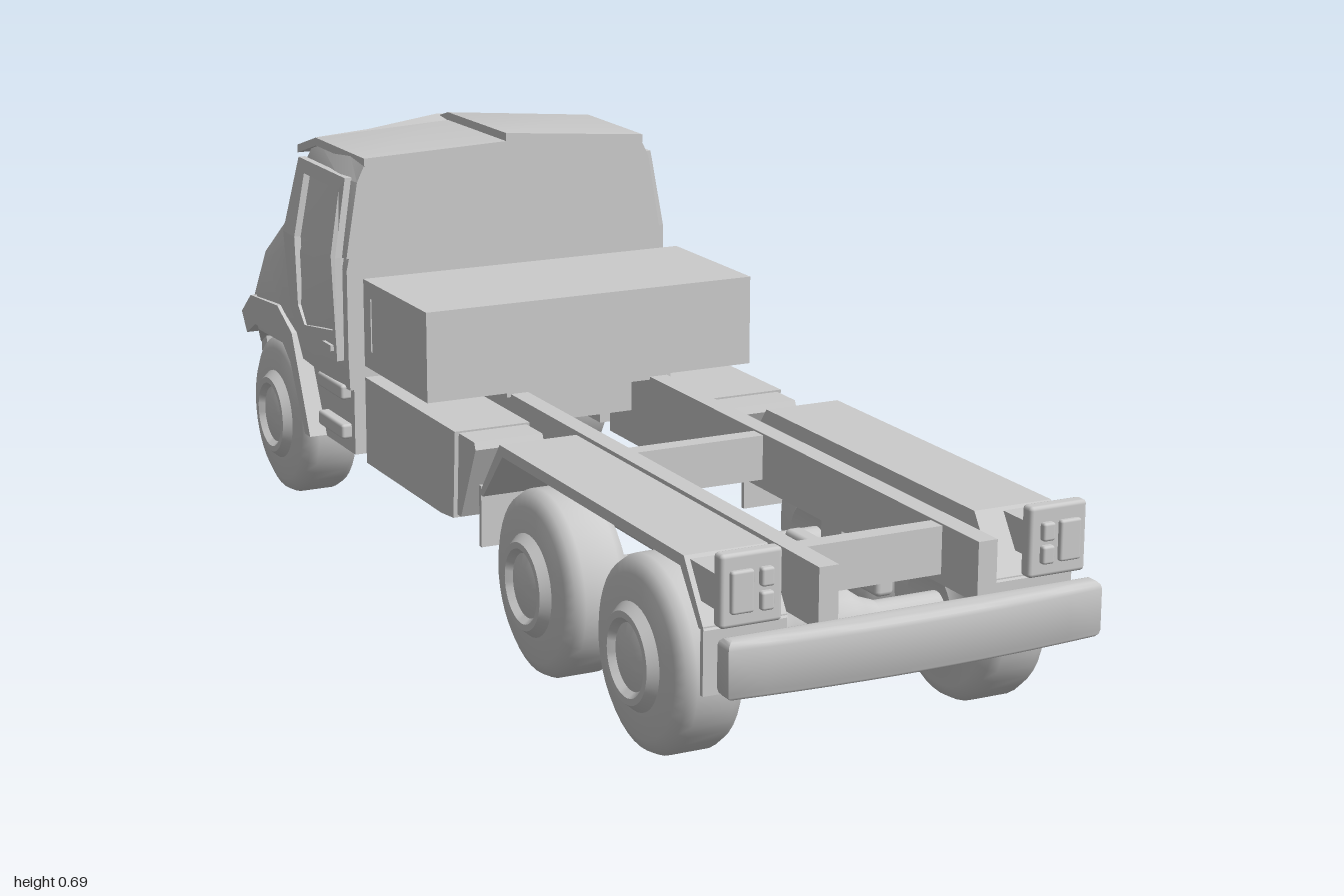
import * as THREE from 'three';
import { toCreasedNormals } from 'three/addons/utils/BufferGeometryUtils.js';
import { RoundedBoxGeometry } from 'three/addons/geometries/RoundedBoxGeometry.js';

const grey = new THREE.MeshStandardMaterial({ color: 0xcccccc });
const greyBoth = new THREE.MeshStandardMaterial({ color: 0xcccccc, side: THREE.DoubleSide });

export function createModel() {
  const truck = new THREE.Group();
  truck.name = 'truck';
  truck.position.x = -0.01;

  const add = (name, geo, mat = grey) => {
    const m = new THREE.Mesh(geo, mat);
    m.name = name;
    truck.add(m);
    return m;
  };
  // Box given by its limits on each axis; r rounds the edges
  const box = (name, [x0, x1], [y0, y1], [z0, z1], r = 0) => {
    const d = [x1 - x0, y1 - y0, z1 - z0];
    const m = add(name, r ? new RoundedBoxGeometry(...d, 2, r) : new THREE.BoxGeometry(...d));
    m.position.set((x0 + x1) / 2, (y0 + y1) / 2, (z0 + z1) / 2);
    return m;
  };
  const side = (s, a, b) => (s > 0 ? [a, b] : [-b, -a]);
  const zyShape = (pts) => new THREE.Shape(pts.map(([z, y]) => new THREE.Vector2(-z, y)));
  // Side profile of [z, y] points, extruded from x0 to x1
  const profile = (name, pts, [x0, x1], hole) => {
    const shape = zyShape(pts);
    if (hole) shape.holes.push(zyShape(hole));
    const g = new THREE.ExtrudeGeometry(shape, { depth: x1 - x0, bevelEnabled: false });
    return add(name, g.rotateY(Math.PI / 2).translate(x0, 0, 0));
  };
  const rod = (name, r, len, axis, [x, y, z]) => {
    const g = new THREE.CylinderGeometry(r, r, len, 20);
    if (axis === 'x') g.rotateZ(Math.PI / 2);
    if (axis === 'z') g.rotateX(Math.PI / 2);
    add(name, g).position.set(x, y, z);
  };
  const tube = (name, pts, r) => {
    const c = new THREE.CatmullRomCurve3(pts.map((p) => new THREE.Vector3(...p)), false, 'centripetal');
    add(name, new THREE.TubeGeometry(c, 30, r, 10), greyBoth);
  };
  // Skin through half rings that are mirrored across x = 0, closed at both ends
  const loft = (name, halves, crease = 0.5) => {
    const rings = halves.map((h) => [...h, ...h.filter((p) => p[0] > 0).reverse().map(([x, y, z]) => [-x, y, z])]);
    const n = rings[0].length, pos = rings.flat(2), idx = [];
    for (let i = 0; i < rings.length - 1; i++) {
      for (let j = 0; j < n; j++) {
        const a = i * n + j, b = i * n + (j + 1) % n;
        idx.push(a, b, a + n, b, b + n, a + n);
      }
    }
    [0, rings.length - 1].forEach((i) => {
      const c = pos.length / 3;
      for (let k = 0; k < 3; k++) pos.push(rings[i].reduce((t, p) => t + p[k], 0) / n);
      for (let j = 0; j < n; j++) {
        const a = i * n + j, b = i * n + (j + 1) % n;
        idx.push(...(i ? [a, b, c] : [b, a, c]));
      }
    });
    const g = new THREE.BufferGeometry();
    g.setAttribute('position', new THREE.Float32BufferAttribute(pos, 3));
    g.setIndex(idx);
    return add(name, toCreasedNormals(g, crease), greyBoth);
  };

  // Wheels and axles
  const wheelPts = [[0, -0.05], [0.04, -0.06], [0.062, -0.069], [0.08, -0.055], [0.12, -0.053], [0.138, -0.044],
    [0.145, -0.03], [0.145, 0.03], [0.138, 0.044], [0.12, 0.053], [0.08, 0.056], [0.068, 0.07], [0.058, 0.07],
    [0.05, 0.06], [0.03, 0.067], [0, 0.069]].map((p) => new THREE.Vector2(...p));
  const wheelGeo = toCreasedNormals(new THREE.LatheGeometry(wheelPts, 40).rotateZ(-Math.PI / 2), 0.7);
  for (const z of [0.715, 0.362, -0.73]) {
    for (const s of [-1, 1]) {
      const w = add('wheel', wheelGeo);
      w.position.set(s * 0.25, 0.147, z);
      if (s < 0) w.rotation.y = Math.PI;
    }
    rod('axle', 0.026, 0.4, 'x', [0, 0.145, z]);
    const diff = [[0.026, -0.085], [0.035, -0.06], [0.056, -0.03], [0.056, 0.03], [0.035, 0.06], [0.026, 0.085]];
    add('differential', new THREE.LatheGeometry(diff.map((p) => new THREE.Vector2(...p)), 20).rotateZ(Math.PI / 2))
      .position.set(0, 0.147, z);
  }
  rod('driveShaft', 0.029, 1.45, 'z', [0, 0.14, 0]);
  box('gearbox', [-0.09, 0.09], [0.12, 0.28], [-0.6, -0.39], 0.02);

  // Chassis ladder
  for (const s of [-1, 1]) {
    box('chassisRail', side(s, 0.112, 0.143), [0.235, 0.325], [-0.88, 0.95]);
    for (const z of [0.54, -0.73]) box('leafSpring', side(s, 0.112, 0.143), [0.16, 0.19], [z - 0.14, z + 0.14], 0.008);
    for (const z of [0.54, -0.73]) box('springHanger', side(s, 0.115, 0.14), [0.17, 0.25], [z - 0.03, z + 0.03]);
  }
  for (const [z, w] of [[0.315, 0.03], [0.84, 0.03], [-0.15, 0.04]]) {
    box('crossMember', [-0.115, 0.115], [0.25, 0.322], [z - w / 2, z + w / 2]);
  }

  // Rear bumper, bowed in plan
  const plan = new THREE.Shape();
  plan.moveTo(-0.288, -0.962);
  plan.lineTo(0.288, -0.962);
  plan.lineTo(0.288, -0.973);
  plan.quadraticCurveTo(0, -1.003, -0.288, -0.973);
  const bumper = new THREE.ExtrudeGeometry(plan, { depth: 0.061, bevelSize: 0.011, bevelThickness: 0.012, bevelSegments: 3 });
  add('rearBumper', toCreasedNormals(bumper.rotateX(-Math.PI / 2).translate(0, 0.178, 0), 0.8));

  for (const s of [-1, 1]) {
    // Rear mudguards, flaps and lamps
    profile('mudguard', [[0.91, 0.245], [0.85, 0.335], [0.24, 0.335], [0.16, 0.235], [0.175, 0.235], [0.25, 0.318],
      [0.84, 0.318], [0.895, 0.245]], side(s, 0.168, 0.298));
    profile('mudguardSkirt', [[0.905, 0.25], [0.85, 0.33], [0.24, 0.33], [0.17, 0.245], [0.25, 0.298], [0.84, 0.298]],
      side(s, 0.168, 0.178));
    box('mudFlap', side(s, 0.168, 0.298), [0.15, 0.25], [0.9, 0.908]);
    box('frontMudFlap', side(s, 0.168, 0.298), [0.15, 0.25], [0.16, 0.168]);
    box('lampHousing', side(s, 0.198, 0.293), [0.257, 0.362], [0.925, 0.948], 0.006);
    box('lampBracket', side(s, 0.215, 0.29), [0.28, 0.33], [0.85, 0.93]);
    for (const y of [0.278, 0.312]) box('lampLens', side(s, 0.215, 0.235), [y, y + 0.027], [0.945, 0.958], 0.004);
    box('lampLens', side(s, 0.245, 0.28), [0.278, 0.339], [0.945, 0.956], 0.004);

    // Side tanks
    profile('sideTank', [[0.05, 0.165], [0.06, 0.31], [-0.32, 0.31], [-0.32, 0.16], [0, 0.16]], side(s, 0.165, 0.295));
    profile('tankEnd', [[0.05, 0.17], [0.065, 0.17], [0.125, 0.295], [0.12, 0.307], [0.05, 0.307]], side(s, 0.17, 0.288));

    // Locker end frames
    profile('lockerFrame', [[-0.05, 0.33], [-0.05, 0.48], [-0.32, 0.48], [-0.32, 0.33]], side(s, 0.28, 0.295),
      [[-0.08, 0.36], [-0.08, 0.452], [-0.29, 0.452], [-0.29, 0.36]]);
  }
  // Locker behind the cab
  box('locker', [-0.281, 0.281], [0.33, 0.48], [-0.32, -0.05]);
  box('lockerMount', [-0.15, 0.15], [0.32, 0.335], [-0.31, -0.06]);

  // Lower cab and bonnet, from the rear wall to the nose
  const body = (z, xs, ys) => xs.map((x, i) => [x, ys[i], z]);
  loft('bonnetAndLowerCab', [
    body(-0.39, [0.295, 0.297, 0.297, 0.29, 0], [0.27, 0.33, 0.48, 0.51, 0.51]),
    body(-0.45, [0.3, 0.305, 0.305, 0.3, 0], [0.27, 0.33, 0.48, 0.51, 0.51]),
    body(-0.68, [0.308, 0.312, 0.302, 0.285, 0], [0.29, 0.35, 0.47, 0.51, 0.53]),
    body(-0.8, [0.312, 0.315, 0.29, 0.25, 0], [0.29, 0.345, 0.42, 0.493, 0.517]),
    body(-0.9, [0.272, 0.282, 0.258, 0.215, 0], [0.24, 0.33, 0.41, 0.465, 0.488]),
    [[0.225, 0.25, -0.93], [0.228, 0.32, -0.95], [0.205, 0.4, -0.965], [0.18, 0.448, -0.965], [0, 0.465, -0.965]],
    [[0.16, 0.25, -0.935], [0.17, 0.32, -0.955], [0.165, 0.4, -0.985], [0.155, 0.438, -1], [0, 0.448, -1]],
  ]);
  // Upper cab, from the belt line to the roof
  const level = (y, yc, xs, zs) => xs.map((x, i) => [x, x ? y : yc, zs[i]]);
  loft('upperCab', [
    level(0.5, 0.515, [0.297, 0.305, 0.295, 0.16, 0], [-0.39, -0.45, -0.695, -0.745, -0.765]),
    level(0.63, 0.64, [0.275, 0.285, 0.265, 0.15, 0], [-0.39, -0.45, -0.65, -0.69, -0.705]),
    level(0.665, 0.68, [0.258, 0.262, 0.25, 0.14, 0], [-0.39, -0.45, -0.64, -0.675, -0.69]),
  ], 0.35);
  const roof = (z, zc, x, y, yc) => [[x, y - 0.014, z], [x, y, z], [0, yc, zc], [0, yc - 0.014, zc]];
  loft('roofWithVisor', [roof(-0.388, -0.388, 0.262, 0.67, 0.693), roof(-0.61, -0.64, 0.264, 0.67, 0.69),
    roof(-0.69, -0.745, 0.268, 0.645, 0.66)], 0.3);

  const sideX = (y) => 0.304 - Math.max(0, y - 0.5) * 0.17;
  for (const s of [-1, 1]) {
    // Door frame bent to the slope of the cab side
    const door = profile('doorFrame', [[-0.405, 0.32], [-0.405, 0.5], [-0.41, 0.635], [-0.63, 0.635], [-0.655, 0.5],
      [-0.63, 0.37], [-0.56, 0.31]], [0, 0.012],
    [[-0.425, 0.37], [-0.425, 0.5], [-0.43, 0.612], [-0.595, 0.612], [-0.6, 0.5], [-0.59, 0.38], [-0.56, 0.35]]);
    const p = door.geometry.attributes.position;
    for (let i = 0; i < p.count; i++) p.setX(i, s * (p.getX(i) + sideX(p.getY(i)) - 0.004));
    door.geometry.computeVertexNormals();
    door.material = greyBoth;
    box('doorHandle', side(s, 0.308, 0.318), [0.335, 0.345], [-0.46, -0.42]);

    // Steps and front wheel arch
    profile('stepBox', [[-0.39, 0.155], [-0.39, 0.3], [-0.6, 0.3], [-0.525, 0.155]], side(s, 0.18, 0.288));
    for (const y of [0.18, 0.25]) box('step', side(s, 0.28, 0.306), [y, y + 0.026], [-0.52, -0.405], 0.005);
    profile('wheelArch', [[-0.53, 0.155], [-0.61, 0.325], [-0.68, 0.36], [-0.82, 0.35], [-0.87, 0.31], [-0.845, 0.275],
      [-0.8, 0.3], [-0.66, 0.3], [-0.62, 0.27], [-0.555, 0.155]], side(s, 0.2, 0.318));

    // Bonnet vents and front lamps
    const vent = box('bonnetVent', side(s, 0.06, 0.16), [0.493, 0.507], [-0.9, -0.79], 0.006);
    vent.rotation.set(-0.27, 0, -s * 0.09);
    box('headlamp', side(s, 0.13, 0.19), [0.28, 0.32], [-0.972, -0.93], 0.008);
    box('bumperBracket', side(s, 0.1, 0.13), [0.21, 0.29], [-0.955, -0.88]);
    const wiper = box('wiper', side(s, 0.03, 0.17), [0.545, 0.552], [-0.752, -0.742]);
    wiper.rotation.set(0, s * 0.13, s * 0.2);
  }

  // Nose: grille bars and wrap-round bumper
  for (const y of [0.335, 0.36, 0.385]) box('grilleBar', [-0.13, 0.13], [y, y + 0.01], [-0.99, -0.95]);
  loft('frontBumper', [0.2, 0.225, 0.262].map((y, i) => [[0.275, -0.86], [0.272, -0.895], [0.2, -0.945], [0, -0.955],
    [0, -0.87]].map(([x, z]) => [x, y, z + (i ? 0 : 0.03)])));
  tube('bumperBar', [[-0.27, 0.27, -0.9], [-0.2, 0.29, -0.96], [0, 0.295, -0.975], [0.2, 0.29, -0.96], [0.27, 0.27, -0.9]], 0.01);

  // Air intake on the left side
  tube('intakePipe', [[0.317, 0.59, -0.65], [0.317, 0.46, -0.65], [0.315, 0.41, -0.67], [0.308, 0.39, -0.72], [0.295, 0.39, -0.77]], 0.013);
  box('intakeHead', [0.3, 0.34], [0.575, 0.626], [-0.68, -0.625], 0.006);
  box('intakeBase', [0.27, 0.325], [0.37, 0.43], [-0.79, -0.7], 0.012);
  return truck;
}
